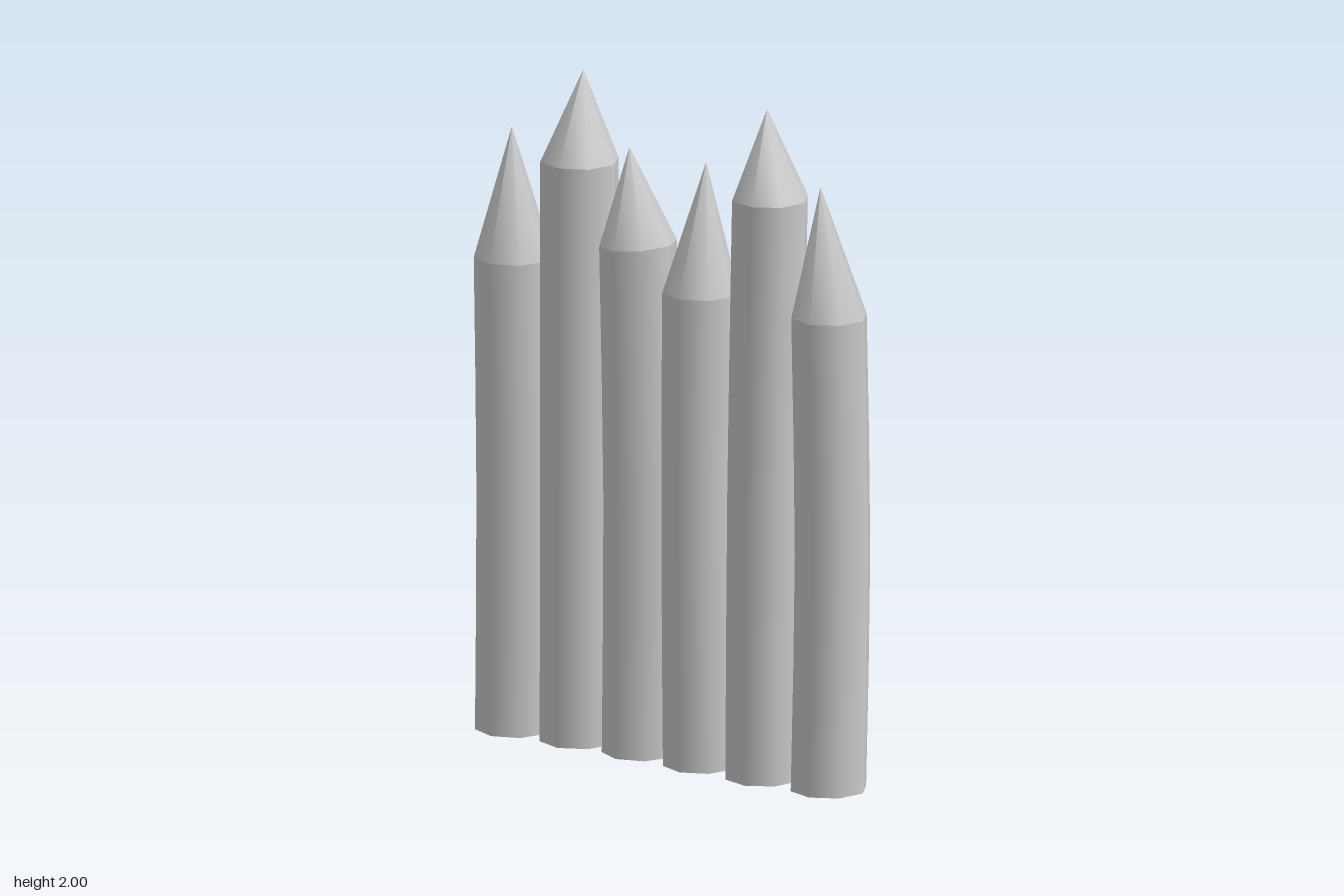
import * as THREE from 'three';

const SIDES = 8;
const ROWS = 4;
const material = new THREE.MeshStandardMaterial({ color: 0xcccccc, side: THREE.DoubleSide });

// spine: [x, z] centres from the ground to the shoulder; tip: [x, y, z];
// turn: rotation about the upright axis; tilt: rise of the shoulder per unit of x
const STAKES = [
  { spine: [[-0.566, 0.012], [-0.566, 0.005], [-0.566, 0.018]], shoulder: 1.415, tip: [-0.562, 1.805, 0.03], r: 0.115, turn: 0.0, tilt: 0 },
  { spine: [[-0.344, 0.0], [-0.346, -0.005], [-0.353, -0.015]], shoulder: 1.73, tip: [-0.343, 2.0, -0.02], r: 0.116, turn: 0.08, tilt: 0 },
  { spine: [[-0.122, 0.0], [-0.116, 0.0], [-0.129, 0.003]], shoulder: 1.52, tip: [-0.155, 1.805, 0.01], r: 0.113, turn: -0.05, tilt: 0.09 },
  { spine: [[0.1, 0.008], [0.092, 0.005], [0.097, 0.008]], shoulder: 1.415, tip: [0.12, 1.805, 0.01], r: 0.112, turn: 0.05, tilt: 0 },
  { spine: [[0.326, 0.012], [0.328, 0.005], [0.337, -0.006]], shoulder: 1.73, tip: [0.34, 2.0, 0.012], r: 0.114, turn: 0.14, tilt: 0 },
  { spine: [[0.555, 0.005], [0.563, -0.004], [0.557, 0.005]], shoulder: 1.415, tip: [0.545, 1.805, 0.03], r: 0.113, turn: 0.12, tilt: 0 },
];

// Moves every vertex by a rule acting on its position
function reshape(geometry, rule) {
  const pos = geometry.attributes.position;
  const v = new THREE.Vector3();
  for (let i = 0; i < pos.count; i++) {
    rule(v.fromBufferAttribute(pos, i));
    pos.setXYZ(i, v.x, v.y, v.z);
  }
  return geometry;
}

function createStake({ spine, shoulder, tip, r, turn, tilt }, index) {
  const stake = new THREE.Group();
  stake.name = `stake${index + 1}`;
  const curve = new THREE.CatmullRomCurve3(
    spine.map(([x, z], i) => new THREE.Vector3(x, (shoulder * i) / (spine.length - 1), z)));
  const top = curve.getPoint(1);

  // Slightly bent, open-ended log
  const log = new THREE.CylinderGeometry(r, r, 1, SIDES, ROWS, true).rotateY(turn);
  reshape(log, (v) => {
    const t = v.y + 0.5;
    const c = curve.getPoint(t);
    v.set(v.x + c.x, c.y + v.x * tilt * t, v.z + c.z);
  });

  // Sharpened point, sheared so its apex meets the tip
  const point = new THREE.ConeGeometry(r, 1, SIDES, 1, true).rotateY(turn);
  const apex = new THREE.Vector3(...tip);
  reshape(point, (v) => {
    const t = v.y + 0.5;
    const c = top.clone().lerp(apex, t);
    v.set(v.x + c.x, c.y + v.x * tilt, v.z + c.z);
  });
  // Smooth normals to suit the cone's true slope
  const slope = r / (tip[1] - shoulder);
  const normal = point.attributes.normal;
  for (let i = 0; i < normal.count; i++) {
    const n = new THREE.Vector3(normal.getX(i), 0, normal.getZ(i)).normalize();
    n.y = slope;
    n.normalize();
    normal.setXYZ(i, n.x, n.y, n.z);
  }

  for (const [name, geometry] of [['log', log], ['sharpenedPoint', point]]) {
    const mesh = new THREE.Mesh(geometry, material);
    mesh.name = name;
    stake.add(mesh);
  }
  return stake;
}

export function createModel() {
  const palisade = new THREE.Group();
  palisade.name = 'palisade';
  STAKES.forEach((s, i) => palisade.add(createStake(s, i)));
  return palisade;
}
